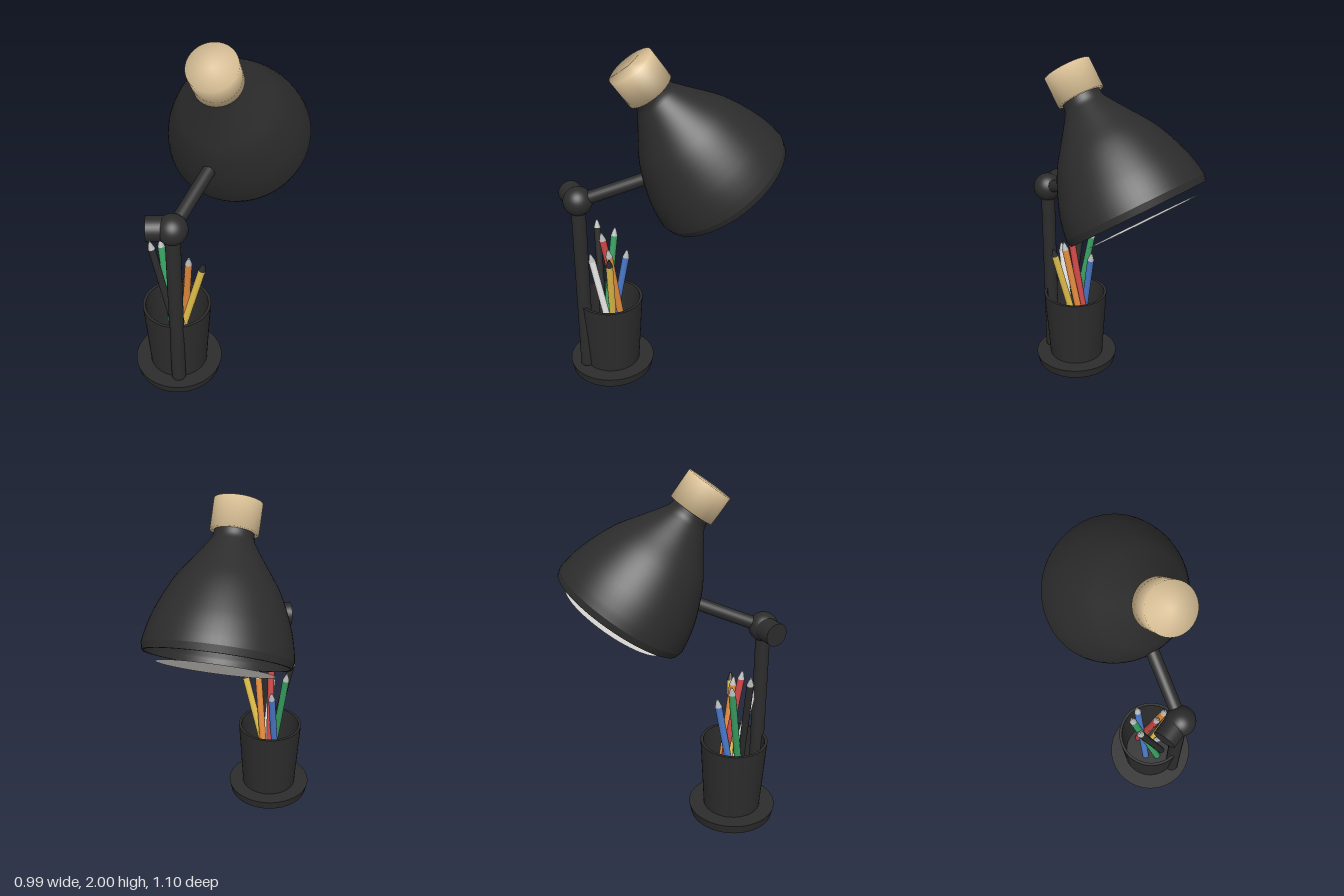
import * as THREE from 'three';

const mat = (name, color, side = THREE.FrontSide) => {
  const m = new THREE.MeshStandardMaterial({ color, side });
  m.name = name;
  return m;
};
const V = (x, y, z) => new THREE.Vector3(x, y, z);
const UP = V(0, 1, 0);

export function createModel() {
  const model = new THREE.Group();
  model.name = 'deskLamp';
  const black = mat('matte black', 0x2c2c2c, THREE.DoubleSide);
  const wood = mat('pale wood', 0xd9c096);
  const diffuser = mat('diffuser white', 0xe8e6e2, THREE.DoubleSide);
  const lead = mat('tip grey', 0xb8b8b8);
  const red = mat('red', 0xd04848);
  const green = mat('green', 0x3aa062);
  const blue = mat('blue', 0x4a78c8);
  const orange = mat('orange', 0xec9040);
  const yellow = mat('yellow', 0xecc850);
  const white = mat('white', 0xe8e8e8);

  const add = (name, geo, material, parent = model) => {
    const mesh = new THREE.Mesh(geo, material);
    mesh.name = name;
    parent.add(mesh);
    return mesh;
  };
  // Lathe with sharp corners wherever a point is repeated
  const lathe = (pts, seg = 48) =>
    new THREE.LatheGeometry(pts.map(p => new THREE.Vector2(p[0], p[1])), seg);
  // Cylinder or frustum running between two points
  const rod = (name, a, b, r0, r1, material, parent = model, seg = 24) => {
    const dir = b.clone().sub(a);
    const mesh = add(name, new THREE.CylinderGeometry(r1, r0, dir.length(), seg), material, parent);
    mesh.position.copy(a).addScaledVector(dir, 0.5);
    mesh.quaternion.setFromUnitVectors(UP, dir.normalize());
    return mesh;
  };

  // Round foot and open pencil cup
  const cx = -0.25, cz = 0.3;
  rod('base', V(cx, 0, cz), V(cx, 0.056, cz), 0.238, 0.25, black, model, 48);
  const cup = add('pencilCup', lathe([
    [0.164, 0.056], [0.191, 0.48], [0.191, 0.48], [0.175, 0.48], [0.175, 0.48],
    [0.15, 0.075], [0.15, 0.075], [0, 0.075],
  ]), black);
  cup.position.set(cx, 0, cz);

  // Pole, ball joint, knob and arm
  const joint = V(-0.248, 1.15, 0.466);
  rod('pole', V(joint.x, 0.065, joint.z), joint, 0.04, 0.04, black);
  add('jointBall', new THREE.SphereGeometry(0.081, 32, 20), black).position.copy(joint);
  rod('jointKnob', V(-0.38, 1.15, 0.457), V(-0.25, 1.15, 0.457), 0.065, 0.065, black, model, 32);
  rod('arm', joint, V(-0.058, 1.288, 0.145), 0.036, 0.036, black);

  // Lamp head: local -y runs from the cap down to the opening
  const head = new THREE.Group();
  head.name = 'lampHead';
  head.position.set(-0.045, 1.92, 0.23);
  head.quaternion.setFromUnitVectors(UP, V(-0.23, 1, 0.68).normalize());
  model.add(head);

  add('cap', lathe([[0, -0.163], [0.129, -0.163], [0.129, 0], [0, 0]]), wood, head);

  const outer = new THREE.CatmullRomCurve3([
    [0.104, 0.16], [0.11, 0.2], [0.132, 0.237], [0.2, 0.335], [0.282, 0.455],
    [0.358, 0.63], [0.386, 0.735], [0.395, 0.795],
  ].map(([r, s]) => V(r, -s, 0))).getPoints(28).map(p => [p.x, p.y]);
  const inner = outer.slice().reverse().map(([r, y]) => [r - 0.012, y]);
  add('shade', lathe([...outer, [0.395, -0.795], [0.386, -0.832], [0.386, -0.832],
    [0.376, -0.832], [0.376, -0.832], ...inner], 64), black, head);

  const disc = add('diffuserDisc', new THREE.CircleGeometry(0.31, 64), diffuser, head);
  disc.rotation.x = Math.PI / 2;
  disc.position.y = -0.878;

  // Pencils: foot inside the cup, then point
  const pencils = [
    ['greenPencil', green, lead, V(-0.26, 0.08, 0.36), V(-0.33, 0.875, 0.213)],
    ['bluePencil', blue, lead, V(-0.3, 0.08, 0.3), V(-0.237, 0.765, 0.185)],
    ['redPencil', red, lead, V(-0.235, 0.08, 0.195), V(-0.254, 0.91, 0.336)],
    ['orangePencil', orange, lead, V(-0.222, 0.08, 0.21), V(-0.175, 0.84, 0.335)],
    ['yellowPencil', yellow, black, V(-0.27, 0.08, 0.27), V(-0.095, 0.825, 0.368)],
    ['blackPencil', black, lead, V(-0.215, 0.08, 0.36), V(-0.38, 0.93, 0.302)],
    ['whitePencil', white, lead, V(-0.2, 0.08, 0.29), V(-0.275, 0.78, 0.4)],
  ];
  for (const [name, body, tip, foot, point] of pencils) {
    const pencil = new THREE.Group();
    pencil.name = name;
    model.add(pencil);
    const neck = point.clone().addScaledVector(point.clone().sub(foot).normalize(), -0.045);
    rod('pencilBody', foot, neck, 0.02, 0.02, body, pencil, 12);
    rod('pencilTip', neck, point, 0.02, 0.006, tip, pencil, 12);
  }
  return model;
}
